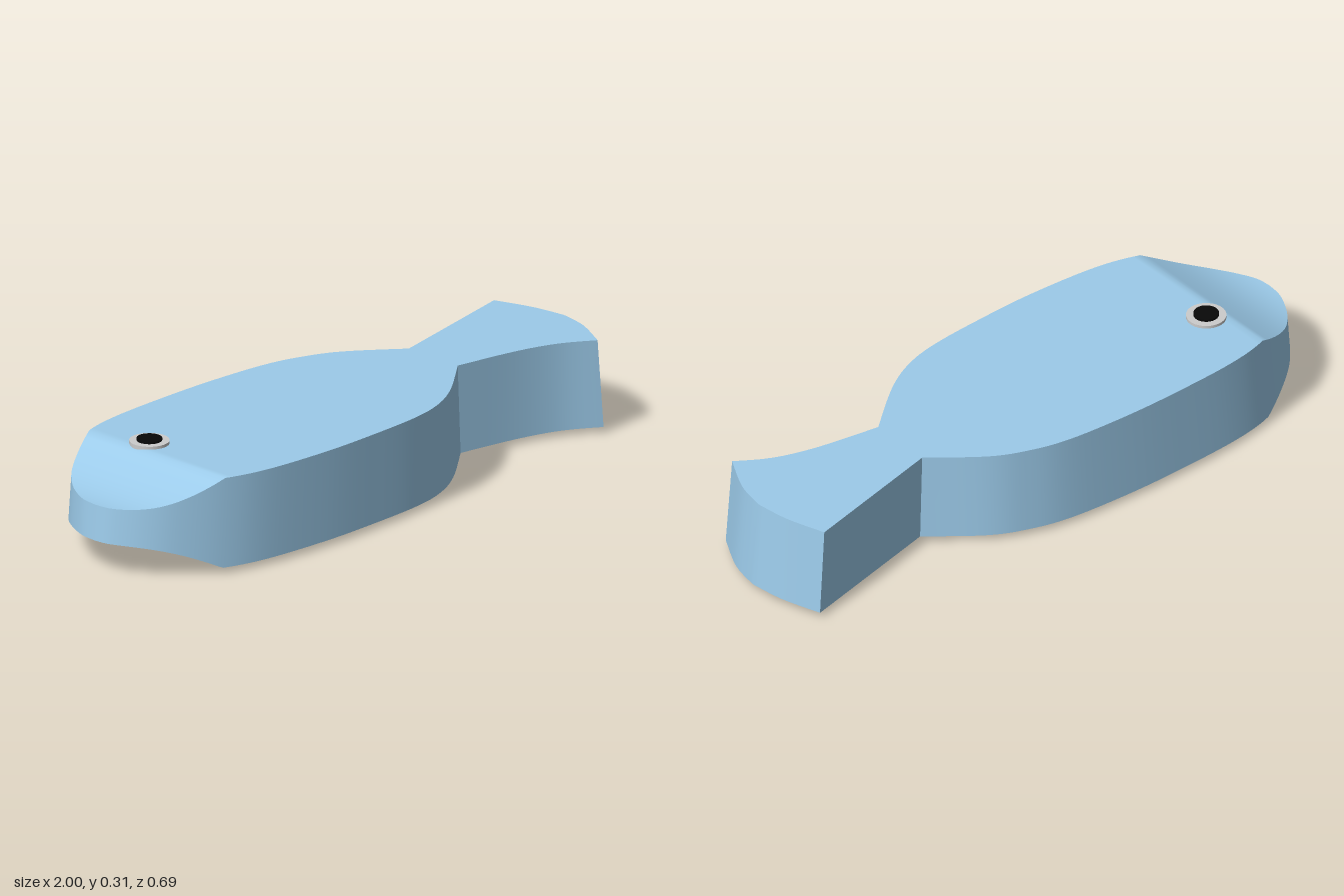
import * as THREE from 'three';
import { toCreasedNormals } from 'three/addons/utils/BufferGeometryUtils.js';

const BOTTOM = 0.018, TOP = 0.295;

// Samples a smooth curve through [x, z] points
const spline = (pts, n) =>
  new THREE.SplineCurve(pts.map(([x, z]) => new THREE.Vector2(x, z))).getPoints(n);

// Joins curves that meet at sharp corners
const join = (...curves) => curves.flatMap((c, i) => (i ? c.slice(1) : c));

// Places an outline point on the upper or lower face: the head thins toward
// the nose and the whole block narrows slightly toward the top
function place(p, upper) {
  const u = THREE.MathUtils.clamp((-0.73 - p.x) / 0.272, 0, 1);
  const thin = 0.084 * Math.sin((u * Math.PI) / 2);
  const y = upper ? TOP - thin : BOTTOM + thin;
  const s = 1 - (0.022 * (y - BOTTOM)) / (TOP - BOTTOM);
  return new THREE.Vector3(p.x * s, y, p.y * s);
}

function bodyGeometry() {
  // Both outlines run from the nose, past the neck and tail corner, to the tail middle
  const back = join(
    spline([[-1.003, 0.02], [-0.992, -0.05], [-0.94, -0.145], [-0.86, -0.225], [-0.73, -0.293],
      [-0.58, -0.326], [-0.35, -0.341], [-0.15, -0.343], [0.05, -0.331], [0.18, -0.301],
      [0.3, -0.247], [0.46, -0.125]], 66),
    spline([[0.46, -0.125], [0.94, -0.246]], 12),
    spline([[0.94, -0.246], [0.982, -0.12], [1, -0.005]], 10));
  const front = join(
    spline([[-1.003, 0.02], [-0.992, 0.08], [-0.94, 0.16], [-0.86, 0.228], [-0.73, 0.293],
      [-0.58, 0.329], [-0.35, 0.342], [-0.15, 0.336], [0.05, 0.319], [0.18, 0.285],
      [0.3, 0.217], [0.46, 0.085]], 66),
    spline([[0.46, 0.085], [0.67, 0.118], [0.81, 0.16], [0.917, 0.223]], 12),
    spline([[0.917, 0.223], [0.978, 0.1], [1, -0.005]], 10));

  const pos = [];
  const tri = (a, b, c) => {
    const area = b.clone().sub(a).cross(c.clone().sub(a)).length();
    if (area > 1e-9) for (const v of [a, b, c]) pos.push(v.x, v.y, v.z);
  };
  const quad = (a, b, c, d) => { tri(a, b, c); tri(a, c, d); };

  const ribs = back.map((b, i) => ({
    bt: place(b, true), bb: place(b, false),
    ft: place(front[i], true), fb: place(front[i], false),
  }));
  for (let i = 0; i < ribs.length - 1; i++) {
    const p = ribs[i], q = ribs[i + 1];
    quad(p.bt, p.ft, q.ft, q.bt); // upper face
    quad(p.bb, q.bb, q.fb, p.fb); // lower face
    quad(p.fb, q.fb, q.ft, p.ft); // front wall
    quad(p.bb, p.bt, q.bt, q.bb); // back wall
  }
  const geo = new THREE.BufferGeometry();
  geo.setAttribute('position', new THREE.Float32BufferAttribute(pos, 3));
  return toCreasedNormals(geo, 0.5);
}

export function createModel() {
  const group = new THREE.Group();
  const blue = new THREE.MeshStandardMaterial({ color: 0x9ccbea });
  const grey = new THREE.MeshStandardMaterial({ color: 0xcccccc });
  const black = new THREE.MeshStandardMaterial({ color: 0x080808 });

  const body = new THREE.Mesh(bodyGeometry(), blue);
  body.name = 'fishBody';
  group.add(body);

  // An eye on each flat face: a grey disc with a black pupil
  const disc = (name, r, y0, y1, material) => {
    const mesh = new THREE.Mesh(new THREE.CylinderGeometry(r, r, y1 - y0, 40), material);
    mesh.name = name;
    mesh.position.y = (y0 + y1) / 2;
    return mesh;
  };
  const upperEye = new THREE.Group();
  upperEye.name = 'upperEye';
  upperEye.add(disc('eyeDisc', 0.06, 0.28, 0.304, grey), disc('pupil', 0.038, 0.29, 0.311, black));
  const lowerEye = new THREE.Group();
  lowerEye.name = 'lowerEye';
  lowerEye.add(disc('eyeDisc', 0.06, 0.008, 0.03, grey), disc('pupil', 0.038, 0, 0.02, black));
  for (const eye of [upperEye, lowerEye]) {
    eye.position.set(-0.662, 0, -0.086);
    group.add(eye);
  }
  return group;
}
